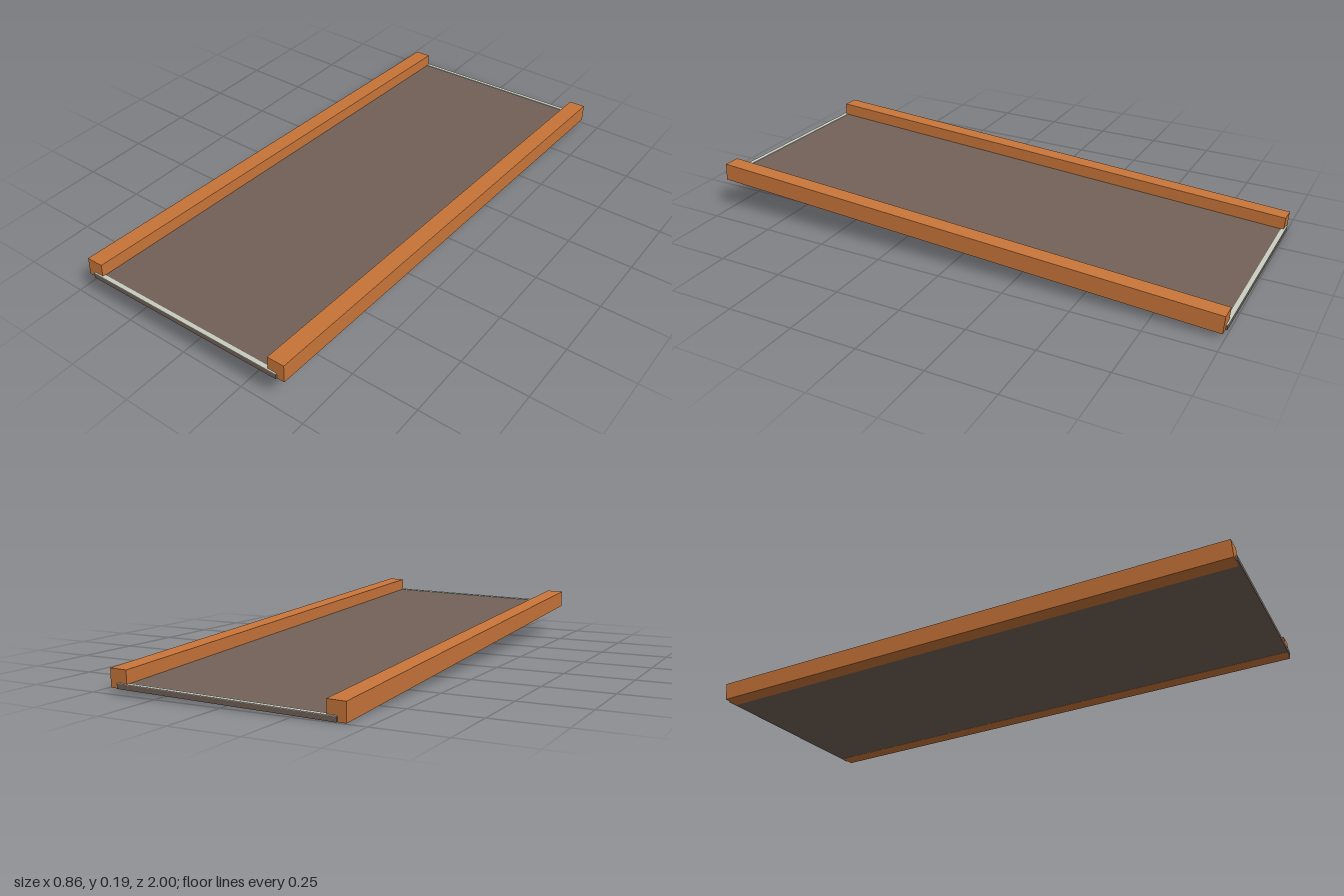
import * as THREE from 'three';

const orange = new THREE.MeshStandardMaterial({ name: 'orangeWood', color: 0xc87539 });
const brown = new THREE.MeshStandardMaterial({ name: 'greyBrown', color: 0x726157 });
const pale = new THREE.MeshStandardMaterial({ name: 'paleEdge', color: 0xc9cec2 });

// Box resting on height y
function addBox(parent, name, material, [w, h, d], x, y, z) {
  const mesh = new THREE.Mesh(new THREE.BoxGeometry(w, h, d), material);
  mesh.name = name;
  mesh.position.set(x, y + h / 2, z);
  parent.add(mesh);
}

export function createModel() {
  const model = new THREE.Group();
  model.name = 'ramp';

  // The deck and rails tilt together, front and left side raised
  const ramp = new THREE.Group();
  ramp.name = 'tiltedRamp';
  ramp.rotation.set(-0.055, 0, 0.0235);
  ramp.position.set(0, 0.0655, 0);
  model.add(ramp);

  // Thin deck, its ends reaching just past the rails
  addBox(ramp, 'deck', brown, [0.8, 0.017, 2], 0, 0.0005, 0);

  for (const side of [-1, 1]) {
    // Square side rail
    addBox(ramp, side > 0 ? 'leftRail' : 'rightRail', orange,
      [0.065, 0.065, 1.988], side * 0.3965, 0, 0);
    // Pale strip across the end of the deck
    addBox(ramp, side > 0 ? 'frontEdgeStrip' : 'backEdgeStrip', pale,
      [0.8, 0.002, 0.016], 0, 0.0175, side * 0.992);
  }
  return model;
}
